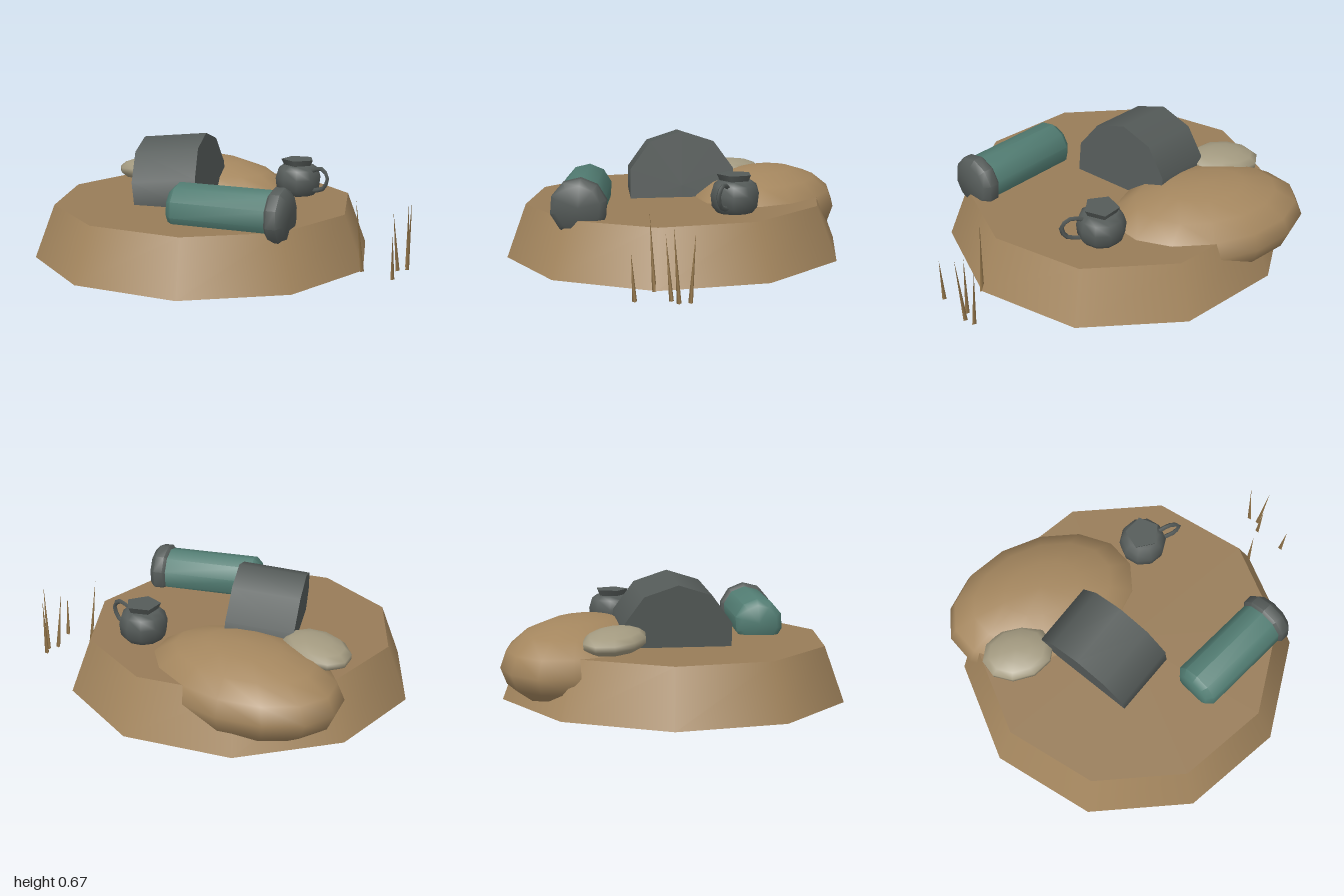
import * as THREE from 'three';
import { toCreasedNormals } from 'three/addons/utils/BufferGeometryUtils.js';

const material = (name, color) => {
  const m = new THREE.MeshStandardMaterial({ color });
  m.name = name;
  return m;
};
const UP = new THREE.Vector3(0, 1, 0);
const V = (x, y, z) => new THREE.Vector3(x, y, z);

export function createModel() {
  const model = new THREE.Group();
  model.name = 'campRemains';

  const soil = material('soil', 0xa5875f);
  const ground = material('packedGround', 0x987c58);
  const iron = material('darkIron', 0x555b59);
  const teal = material('tealCloth', 0x527d73);
  const stone = material('paleStone', 0xa39a80);
  const straw = material('dryGrass', 0x9c7d50);

  const add = (name, geometry, mat, parent = model) => {
    const mesh = new THREE.Mesh(geometry, mat);
    mesh.name = name;
    parent.add(mesh);
    return mesh;
  };
  // Places a y-axis solid so that it runs from a to b
  const span = (mesh, a, b) => {
    mesh.position.copy(a).add(b).multiplyScalar(0.5);
    mesh.quaternion.setFromUnitVectors(UP, b.clone().sub(a).normalize());
    return mesh;
  };
  const lathe = (points, sides) =>
    new THREE.LatheGeometry(points.map(([r, y]) => new THREE.Vector2(r, y)), sides);

  // Ten-sided earth base, tipped very slightly
  const base = add('earthBase', new THREE.CylinderGeometry(0.825, 0.935, 0.29, 10), [soil, ground, ground]);
  base.position.set(-0.1, 0.165, 0);
  base.rotation.set(0.01, 0, -0.01);

  // Dirt mound overhanging the back corner
  const mound = add('dirtMound', new THREE.SphereGeometry(1, 14, 8), soil);
  mound.scale.set(0.56, 0.228, 0.385);
  mound.position.set(-0.44, 0.232, -0.4);

  // Flat stone leaning on the mound
  const rock = add('flatStone', new THREE.SphereGeometry(1, 10, 7), stone);
  rock.scale.set(0.2, 0.065, 0.155);
  rock.position.set(-0.69, 0.385, -0.12);
  rock.rotation.set(0, -0.15, 0.08);

  // Half-buried drum lying on its side, a flat facet on top
  const drum = new THREE.Group();
  drum.name = 'buriedDrum';
  model.add(drum);
  const drumGeometry = new THREE.CylinderGeometry(0.3, 0.3, 0.36, 10);
  drumGeometry.rotateY(Math.PI / 10);
  drumGeometry.rotateZ(-Math.PI / 2);
  add('drumBody', drumGeometry, iron, drum);
  drum.position.set(-0.25, 0.357, 0.035);
  drum.rotation.set(0, 0.49, 0.1, 'YZX');

  // Bedroll with softened edges
  const rollStart = V(0.1, 0.368, 0.43);
  const rollEnd = V(0.635, 0.365, 0.21);
  const rollLength = rollStart.distanceTo(rollEnd);
  const h = rollLength / 2;
  const rollGeometry = lathe([[0, -h], [0.1, -h], [0.132, -h + 0.035], [0.132, h], [0, h]], 10);
  span(add('bedroll', toCreasedNormals(rollGeometry, 0.9), teal), rollStart, rollEnd);

  // Thick dark cap on the end of the roll
  const along = rollEnd.clone().sub(rollStart).normalize();
  const capGeometry = lathe(
    [[0, -0.055], [0.115, -0.055], [0.148, -0.025], [0.148, 0.025], [0.115, 0.055], [0, 0.055]], 10);
  span(add('rollCap', toCreasedNormals(capGeometry, 0.9), iron),
    rollEnd.clone().addScaledVector(along, -0.055),
    rollEnd.clone().addScaledVector(along, 0.055));

  // Small jug with a five-sided lid and a loop handle
  const jug = new THREE.Group();
  jug.name = 'jug';
  jug.position.set(0.185, 0.305, -0.465);
  model.add(jug);
  add('jugBody', lathe(
    [[0, 0], [0.09, 0], [0.123, 0.04], [0.13, 0.1], [0.115, 0.15], [0.085, 0.172], [0, 0.172]], 10), iron, jug);
  const lid = add('jugLid', new THREE.CylinderGeometry(0.095, 0.08, 0.032, 5), iron, jug);
  lid.position.y = 0.189;
  lid.rotation.y = 0.45;
  const handlePath = new THREE.CatmullRomCurve3([
    V(0.1, 0.15, 0), V(0.165, 0.17, 0), V(0.215, 0.13, 0.005), V(0.19, 0.065, 0.005), V(0.115, 0.04, 0)]);
  add('jugHandle', new THREE.TubeGeometry(handlePath, 8, 0.013, 4), iron, jug);

  // Loose grass blades beside the base
  const blades = [
    [V(0.786, 0.01, -0.28), V(0.765, 0.4, -0.245)],
    [V(0.903, 0.01, -0.52), V(0.89, 0.35, -0.54)],
    [V(0.935, 0.01, -0.475), V(0.965, 0.39, -0.46)],
    [V(0.91, 0.01, -0.425), V(0.9, 0.33, -0.39)],
    [V(0.988, 0.01, -0.27), V(0.995, 0.25, -0.255)],
  ];
  for (const [root, tip] of blades)
    span(add('grassBlade', new THREE.ConeGeometry(0.013, root.distanceTo(tip), 3), straw), root, tip);

  return model;
}
